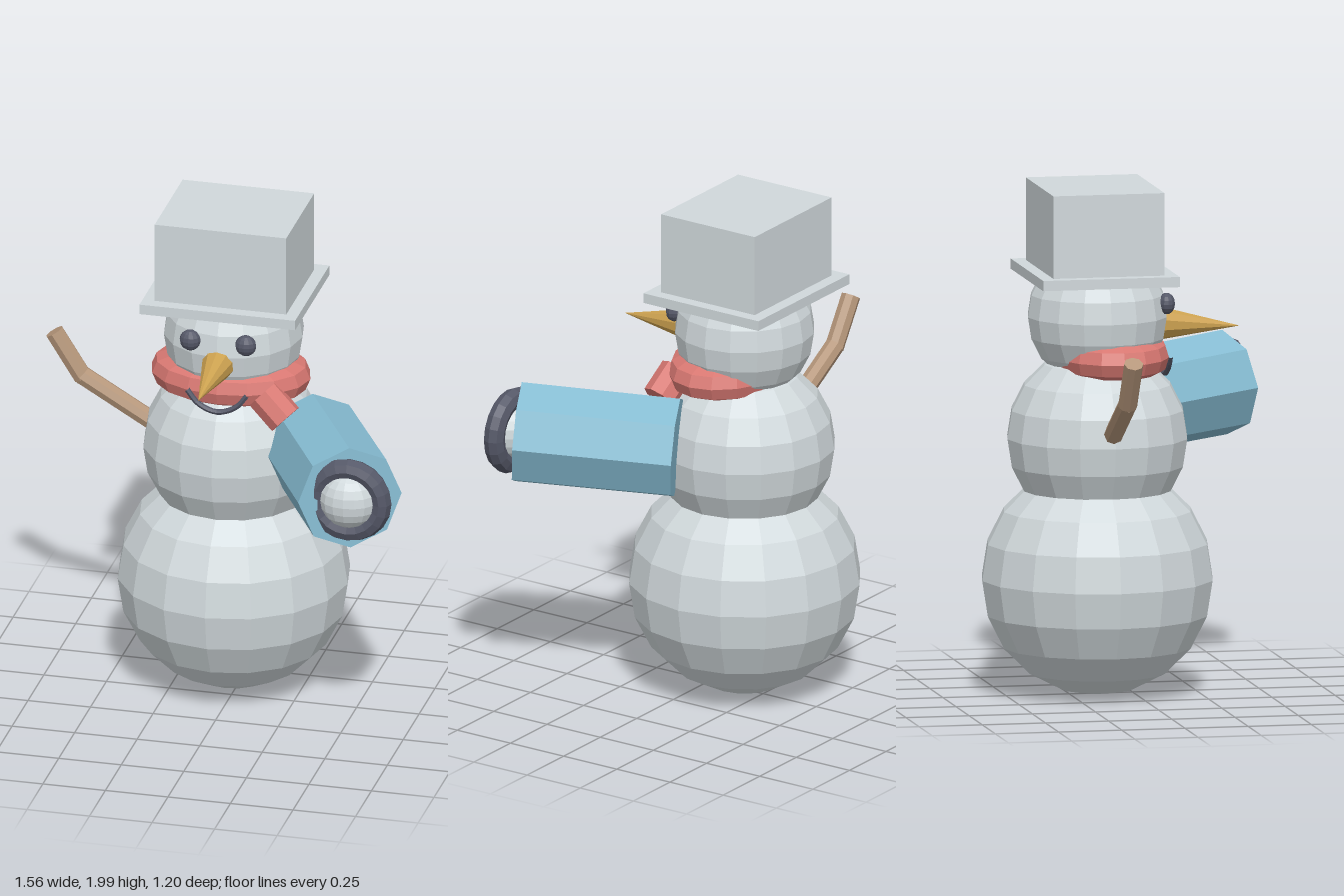
import * as THREE from 'three';

const material = (name, color) => {
  const m = new THREE.MeshStandardMaterial({ color, flatShading: true });
  m.name = name;
  return m;
};

export function createModel() {
  const snow = material('snow', 0xd0d8db);
  const red = material('scarf red', 0xd87872);
  const blue = material('arm blue', 0x86bcd2);
  const orange = material('carrot', 0xcda250);
  const wood = material('wood', 0xb5967a);
  const coal = material('coal', 0x555868);

  const model = new THREE.Group();
  model.name = 'snowman';
  const CX = -0.027, CZ = -0.145; // body axis

  const add = (name, geometry, mat, x, y, z) => {
    const mesh = new THREE.Mesh(geometry, mat);
    mesh.name = name;
    mesh.position.set(x, y, z);
    model.add(mesh);
    return mesh;
  };

  // Cylinder or cone running between two points
  const rod = (name, mat, a, b, r0, r1, sides) => {
    const from = new THREE.Vector3(...a), to = new THREE.Vector3(...b);
    const g = new THREE.CylinderGeometry(r1, r0, from.distanceTo(to), sides).rotateX(Math.PI / 2);
    const mid = from.clone().add(to).multiplyScalar(0.5);
    const mesh = add(name, g, mat, mid.x, mid.y, mid.z);
    mesh.lookAt(to);
    return mesh;
  };

  // Stacked snowballs
  [['base', 0.455, 0.463], ['torso', 0.355, 1.015], ['head', 0.274, 1.49]].forEach(([name, r, y]) =>
    add(name, new THREE.SphereGeometry(r, 16, 10), snow, CX, y, CZ));

  // Square top hat
  add('hatBrim', new THREE.BoxGeometry(0.622, 0.04, 0.54), snow, CX, 1.657, -0.153);
  add('hatCrown', new THREE.BoxGeometry(0.526, 0.323, 0.44), snow, CX, 1.8385, -0.153);

  // Face
  for (const side of [-1, 1]) {
    add(side > 0 ? 'leftEye' : 'rightEye', new THREE.SphereGeometry(0.042, 12, 8), coal,
      CX + side * 0.111, 1.545, 0.106).scale.z = 0.8;
  }
  rod('nose', orange, [CX, 1.454, 0.078], [CX, 1.434, 0.418], 0.07, 0, 10);
  const smile = new THREE.CatmullRomCurve3([
    [-0.12, 1.34], [-0.075, 1.285], [0, 1.257], [0.075, 1.285], [0.12, 1.34],
  ].map(([x, y]) => new THREE.Vector3(CX + x, y, 0.12)));
  add('mouth', new THREE.TubeGeometry(smile, 16, 0.011, 6), coal, 0, 0, 0);

  // Scarf ring and its hanging tail
  const ring = new THREE.TorusGeometry(0.251, 0.066, 8, 16).rotateX(Math.PI / 2);
  add('scarf', ring, red, CX, 1.335, -0.1).scale.z = 0.73;
  rod('scarfTail', red, [0.14, 1.325, 0.055], [0.235, 1.235, 0.075], 0.07, 0.07, 8);

  // Bent stick arm
  rod('stickUpperArm', wood, [-0.3, 1.035, -0.15], [-0.64, 1.233, -0.15], 0.038, 0.038, 8);
  rod('stickForearm', wood, [-0.632, 1.222, -0.15], [-0.746, 1.402, -0.15], 0.038, 0.038, 8);
  add('stickElbow', new THREE.SphereGeometry(0.037, 8, 6), wood, -0.636, 1.23, -0.15);

  // Wide sleeve arm with cuff and hand
  rod('sleeve', blue, [0.312, 1.085, -0.061], [0.5975, 1.122, 0.4885], 0.203, 0.206, 8);
  add('cuff', new THREE.TorusGeometry(0.13, 0.042, 8, 20), coal, 0.598, 1.124, 0.512);
  add('hand', new THREE.SphereGeometry(0.113, 16, 10), snow, 0.598, 1.124, 0.512).scale.z = 0.8;

  return model;
}
